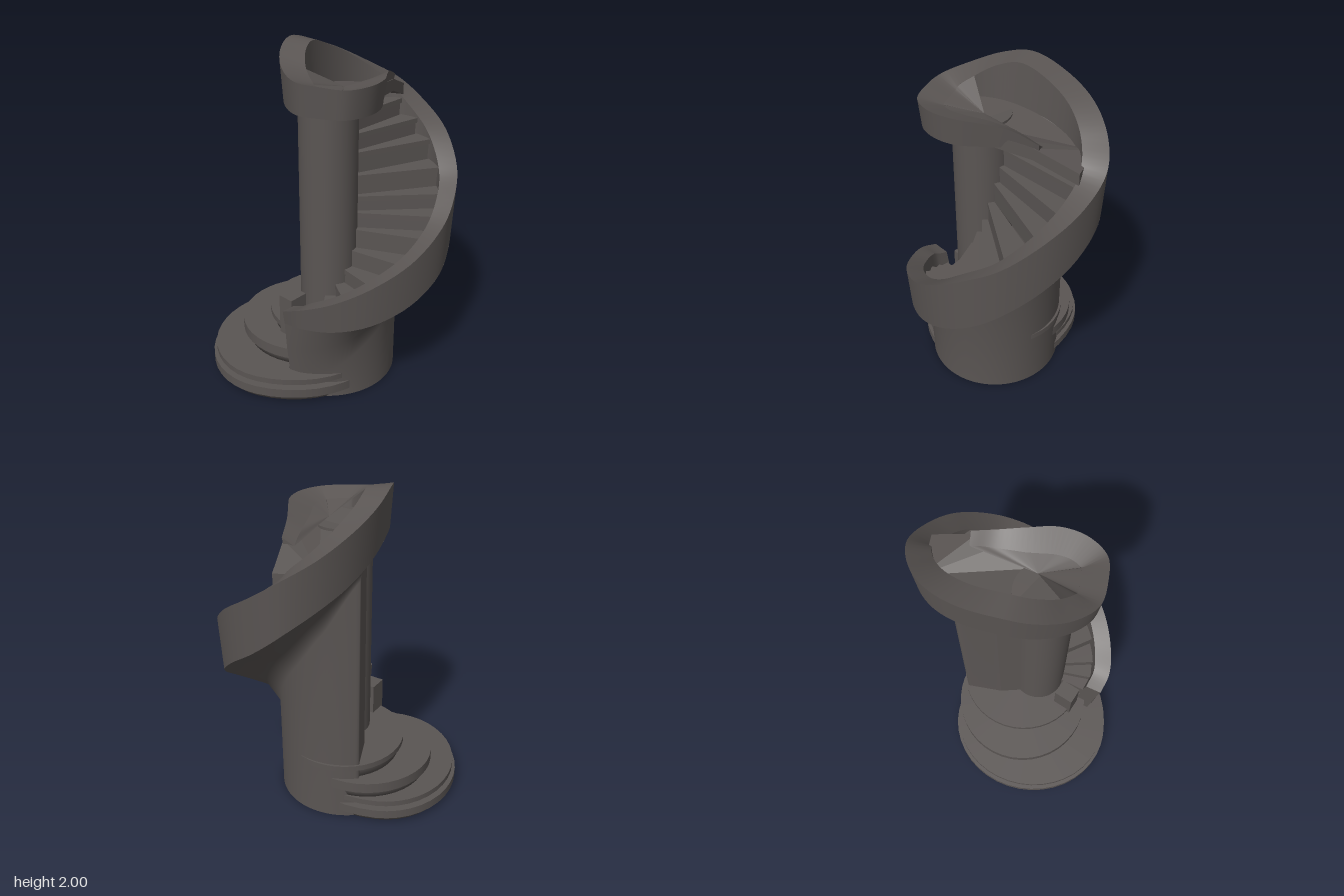
import * as THREE from 'three';

const stone = new THREE.MeshStandardMaterial({ color: 0x5a5553, side: THREE.DoubleSide });
stone.name = 'dark stone';

// Spiral rail stations: outer edge x, z, top height, bottom height
const stations = [
  [-0.1, 0.55, 0.59, 0.5], [0.02, 0.585, 0.64, 0.51], [0.2, 0.56, 0.7, 0.51], [0.4, 0.47, 0.79, 0.54],
  [0.58, 0.3, 0.9, 0.61], [0.69, 0.1, 1.04, 0.71], [0.71, -0.08, 1.15, 0.8], [0.68, -0.27, 1.26, 0.93],
  [0.56, -0.47, 1.42, 1.09], [0.4, -0.59, 1.54, 1.22], [0.22, -0.64, 1.66, 1.36], [0.04, -0.58, 1.76, 1.48],
  [-0.11, -0.45, 1.86, 1.58], [-0.21, -0.27, 1.94, 1.67], [-0.26, -0.05, 2.0, 1.74], [-0.25, 0.12, 1.97, 1.73],
  [-0.18, 0.29, 1.91, 1.7], [-0.06, 0.41, 1.87, 1.69], [0.08, 0.43, 1.86, 1.69], [0.22, 0.41, 1.85, 1.69],
  [0.31, 0.3, 1.85, 1.69], [0.34, 0.15, 1.85, 1.69], [0.31, -0.02, 1.84, 1.7], [0.285, -0.16, 1.82, 1.71],
  [0.28, -0.3, 1.77, 1.68],
];
const LAST = stations.length - 1;
const WALL_END = 13.7;
const curve = (k) => new THREE.CatmullRomCurve3(stations.map((s) => new THREE.Vector3(s[0], s[k], s[1])));
const topCurve = curve(2), bottomCurve = curve(3);
const column = { x: 0.025, z: 0.13, r: 0.168 };
const ease = THREE.MathUtils.smoothstep;

// Points of the cross-section at station s
const topOuter = (s) => topCurve.getPoint(s / LAST);
function inward(p, s, width = 0.1 + 0.035 * ease(s, 6, 10) - 0.07 * ease(s, 21, 24)) {
  const a = topCurve.getPoint(Math.max(0, s - 0.05) / LAST);
  const b = topCurve.getPoint(Math.min(LAST, s + 0.05) / LAST);
  const d = b.sub(a).setY(0).normalize();
  return new THREE.Vector3(p.x + d.z * width, p.y, p.z - d.x * width);
}
const bottomOuter = (s) => inward(bottomCurve.getPoint(s / LAST), s, 0.015);
const topInner = (s) => inward(topOuter(s), s).setY(topOuter(s).y - 0.015 - 0.03 * ease(s, 15, 18));
const bottomInner = (s) => inward(bottomOuter(s), s);
const dishCentre = () => new THREE.Vector3(0.1, 1.775, 0.08);

function wallAt(s, drop) {
  const p = bottomOuter(s), cx = 0, cz = 0.075;
  const len = Math.hypot(p.x - cx, p.z - cz);
  const f = Math.min(0.415, len - 0.03) / len;
  return new THREE.Vector3(Math.max(-0.14, p.x * f), Math.max(0, p.y - drop), cz + (p.z - cz) * f);
}
const wallDrop = (s) => 0.2 + 0.25 * (1 - ease(s, 0, 4)) - 0.15 * ease(s, 10.5, 13);
const wallTop = (s) => wallAt(s, wallDrop(s));
const wallFoot = (s) => wallAt(s, 9);
function flareMid(s) {
  const m = bottomOuter(s).lerp(wallTop(s), 0.3 + 0.45 * ease(s, 0, 4));
  return m.setY(bottomOuter(s).y - wallDrop(s) * 0.4);
}

function add(group, geometry, name, x = 0, y = 0, z = 0) {
  const mesh = new THREE.Mesh(geometry, stone);
  mesh.name = name;
  mesh.position.set(x, y, z);
  group.add(mesh);
  return mesh;
}

// Smooth ribbon through two or more edges running along the spiral
function ribbon(edges, from, to, n = 90) {
  const pos = [], idx = [], w = edges.length;
  for (let i = 0; i <= n; i++) {
    const s = from + ((to - from) * i) / n;
    edges.forEach((edge, j) => {
      pos.push(...edge(s).toArray());
      const k = i * w + j;
      if (i < n && j < w - 1) idx.push(k, k + 1, k + w, k + w, k + 1, k + w + 1);
    });
  }
  const g = new THREE.BufferGeometry();
  g.setAttribute('position', new THREE.Float32BufferAttribute(pos, 3));
  g.setIndex(idx);
  g.computeVertexNormals();
  return g;
}

function quad(a, b, c, d) {
  const g = new THREE.BufferGeometry().setFromPoints([a, b, c, d]);
  g.setIndex([0, 1, 2, 0, 2, 3]);
  g.computeVertexNormals();
  return g;
}

// Horizontal slab with a given outline of [x, z], from y = 0 up to its height
function slab(outline, height) {
  const shape = new THREE.Shape(outline.map(([x, z]) => new THREE.Vector2(x, -z)));
  return new THREE.ExtrudeGeometry(shape, { depth: height, bevelEnabled: false }).rotateX(-Math.PI / 2);
}

export function createModel() {
  const model = new THREE.Group();
  model.name = 'spiralStaircase';

  // Central column
  add(model, new THREE.CylinderGeometry(column.r, column.r, 1.74, 32), 'column', column.x, 0.87, column.z);

  // Rail: a four-sided band climbing to a ring around the column
  const rail = new THREE.Group();
  rail.name = 'spiralRail';
  model.add(rail);
  add(rail, ribbon([topInner, topOuter], 0, LAST, 130), 'railTop');
  add(rail, ribbon([topOuter, bottomOuter], 0, LAST, 130), 'railOuterSide');
  add(rail, ribbon([bottomOuter, bottomInner], 0, LAST, 130), 'railUnderside');
  add(rail, ribbon([bottomInner, topInner], 0, LAST, 130), 'railInnerSide');
  for (const s of [0, LAST]) add(rail, quad(topInner(s), topOuter(s), bottomOuter(s), bottomInner(s)), 'railEnd');

  // Dished surface inside the ring
  add(model, ribbon([topInner, dishCentre], 16, LAST, 50), 'ringDish');

  // Body wall below the rail, flaring out to meet it
  const body = new THREE.Group();
  body.name = 'body';
  model.add(body);
  add(body, ribbon([bottomOuter, flareMid, wallTop, wallFoot], 0, WALL_END), 'wall');
  const foot = wallFoot(WALL_END);
  const onColumn = (y) => new THREE.Vector3(column.x - 0.13, y, column.z - 0.08);
  add(body, quad(foot, onColumn(0), onColumn(1.5), foot.clone().setY(1.53)), 'wallEnd');
  add(body, quad(wallFoot(0), bottomOuter(0), bottomInner(0), inward(wallFoot(0), 0)), 'wallStart');
  const floor = [];
  for (let i = 0; i <= 40; i++) {
    const p = wallFoot((WALL_END * i) / 40);
    floor.push([p.x, p.z]);
  }
  add(body, slab(floor, 0.03), 'floor');

  // Curb post at the foot of the column
  const post = add(model, new THREE.BoxGeometry(0.1, 0.25, 0.12), 'startPost', -0.125, 0.45, 0.34);
  post.rotation.y = -0.4;

  // Rounded entry steps: centre x, z, radii x, z, base, lip, top, stretch toward the wall
  const entry = [
    [-0.25, 0.13, 0.46, 0.51, 0, 0.03, 0.1, 1.3],
    [-0.245, 0.13, 0.445, 0.495, 0.1, 0.11, 0.16, 1.3],
    [-0.13, 0.05, 0.42, 0.42, 0.16, 0.2, 0.28, 1],
    [0.0, 0.03, 0.37, 0.385, 0.28, 0.33, 0.38, 1],
  ];
  entry.forEach(([x, z, rx, rz, y0, y1, y2, stretch]) => {
    const profile = [[0, y0], [0.92, y0], [0.94, y1], [0.94, y1], [1, y1 + 0.015], [1, y1 + 0.015], [1, y2], [1, y2], [0, y2]];
    const g = new THREE.LatheGeometry(profile.map(([r, y]) => new THREE.Vector2(r, y)), 40);
    g.scale(rx, 1, rz);
    const p = g.attributes.position;
    for (let i = 0; i < p.count; i++) if (p.getX(i) > 0) p.setX(i, p.getX(i) * stretch);
    add(model, g, 'entryStep', x, 0, z);
  });

  // Winding treads fanning out from the column
  const count = 14, lastStep = 11;
  for (let i = 0; i < count; i++) {
    const s0 = (lastStep * i) / count, s1 = (lastStep * (i + 1)) / count;
    const hub = (s) => {
      const p = topOuter(s), a = Math.atan2(p.z - column.z, p.x - column.x);
      return [column.x + Math.cos(a) * 0.12, column.z + Math.sin(a) * 0.12];
    };
    const edge = (s) => {
      const p = inward(topOuter(s), s, 0.08);
      return [p.x, p.z];
    };
    const y = topOuter((s0 + s1) / 2).y - 0.13 + (0.07 * i) / count;
    const tread = [hub(s0), edge(s0), edge((s0 + s1) / 2), edge(s1), hub(s1)];
    add(model, slab(tread, 0.03), 'tread', 0, y - 0.03, 0);
    const inset = [hub(s0 + 0.07), edge(s0 + 0.07), edge((s0 + s1) / 2), edge(s1), hub(s1)];
    add(model, slab(inset, 0.1), 'riser', 0, y - 0.13, 0);
  }

  // Landing inside the top ring, dipping toward the last tread
  const outline = [
    [0.28, -0.05], [0.28, -0.27], [0.28, -0.52], [0.04, -0.52], [-0.07, -0.4], [-0.15, -0.25], [-0.2, -0.05],
    [-0.19, 0.12], [-0.12, 0.27], [-0.03, 0.36], [0.08, 0.38], [0.2, 0.36], [0.27, 0.27], [0.3, 0.12],
  ];
  const landing = slab(outline, 0.07);
  const p = landing.attributes.position;
  for (let i = 0; i < p.count; i++) p.setY(i, p.getY(i) - Math.max(0, -p.getZ(i) - 0.2) * 0.35);
  landing.computeVertexNormals();
  add(model, landing, 'landing', 0, 1.7, 0);

  return model;
}
